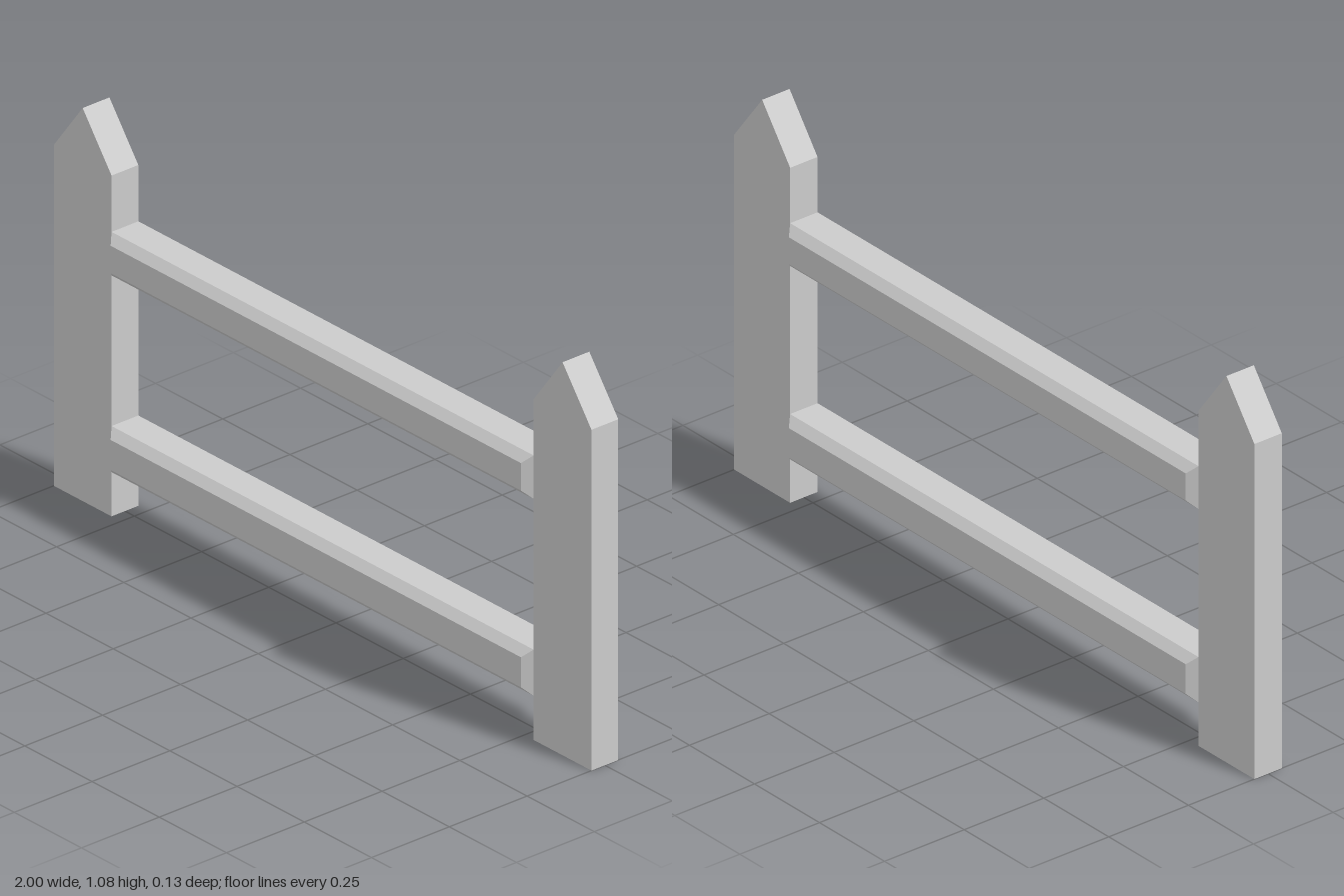
import * as THREE from 'three';

const THICKNESS = 0.086; // post depth, also the straight part of each rail
const POST_INNER = 0.785;
const BEVEL = 0.022;

const material = new THREE.MeshStandardMaterial({ color: 0xcccccc, flatShading: true });

// Extrudes an outline along z, centred on z = 0
function slab(name, points, bevel = 0) {
  const shape = new THREE.Shape(points.map(([x, y]) => new THREE.Vector2(x, y)));
  const geometry = new THREE.ExtrudeGeometry(shape, {
    depth: THICKNESS,
    bevelEnabled: bevel > 0,
    bevelSize: bevel,
    bevelThickness: bevel,
    bevelSegments: 1,
  });
  geometry.translate(0, 0, -THICKNESS / 2);
  const mesh = new THREE.Mesh(geometry, material);
  mesh.name = name;
  return mesh;
}

// Upright post with a pointed top
function post(name, side) {
  const half = (1 - POST_INNER) / 2;
  const mesh = slab(name, [[-half, 0], [half, 0], [half, 0.932], [0, 1.075], [-half, 0.932]]);
  mesh.position.x = side * (1 - half);
  return mesh;
}

// Horizontal rail whose front and back faces are chamfered on all four edges
function rail(name, bottom, top) {
  const x = POST_INNER - BEVEL;
  const y0 = bottom + BEVEL;
  const y1 = top - BEVEL;
  return slab(name, [[-x, y0], [x, y0], [x, y1], [-x, y1]], BEVEL);
}

export function createModel() {
  const fence = new THREE.Group();
  fence.name = 'fence';
  fence.add(
    post('leftPost', 1),
    post('rightPost', -1),
    rail('lowerRail', 0.121, 0.247),
    rail('upperRail', 0.659, 0.778),
  );
  return fence;
}
